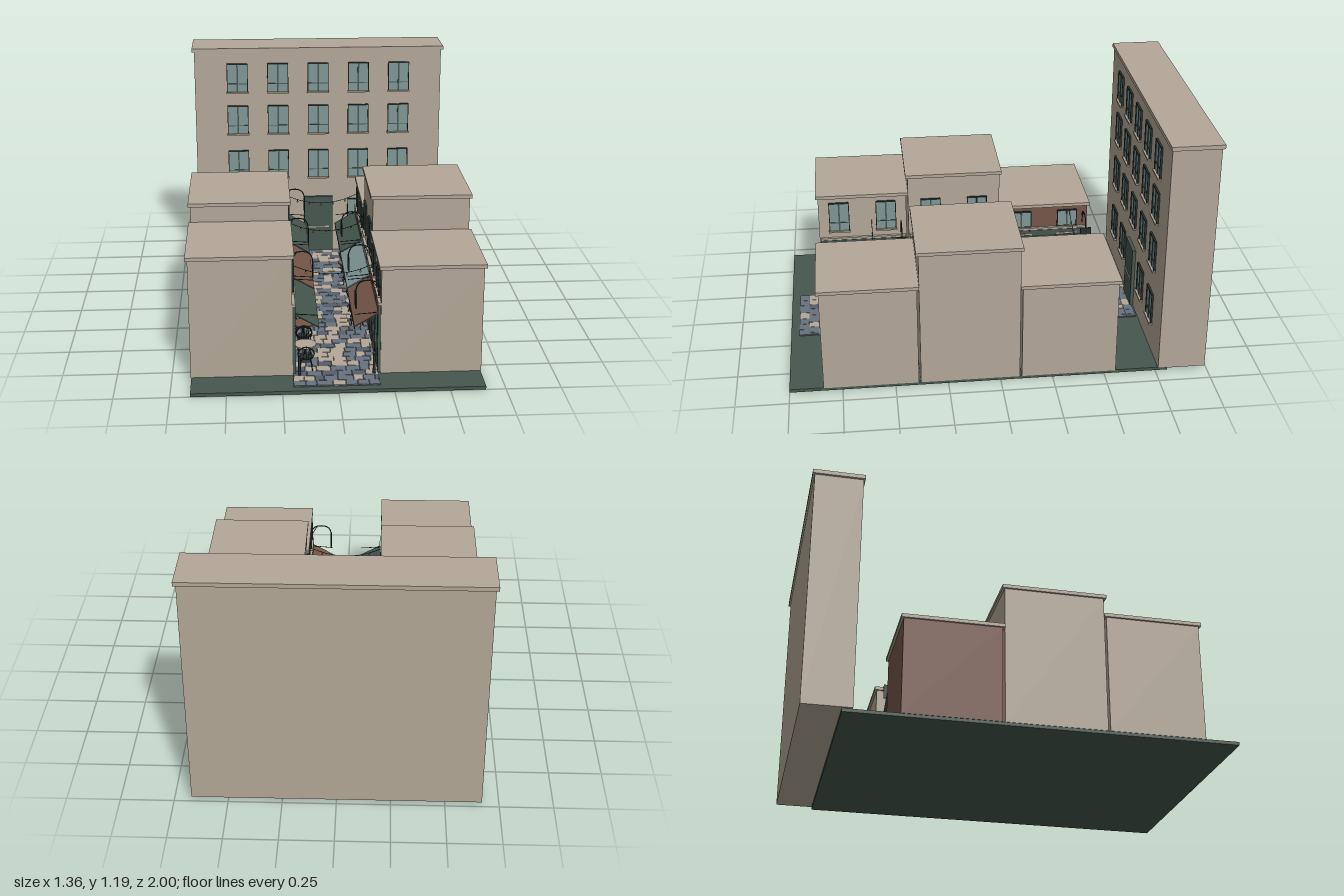
import * as THREE from 'three';

const mat = (name, color) => Object.assign(new THREE.MeshStandardMaterial({ color }), { name });
const stone = mat('tan stone', 0xb3a797);
const green = mat('dark green', 0x46574f);
const brick = mat('brick brown', 0x765649);
const glass = mat('pale teal glass', 0x809797);
const slate = mat('blue grey paving', 0x68727e);
const slateDark = mat('dark blue grey paving', 0x565f6b);
const iron = mat('dark iron', 0x25302e);

function add(parent, name, geo, material, x = 0, y = 0, z = 0) {
  const m = new THREE.Mesh(geo, material);
  m.name = name;
  m.position.set(x, y, z);
  parent.add(m);
  return m;
}

// Box given by its minimum and maximum corners
function block(parent, name, material, x0, x1, y0, y1, z0, z1) {
  return add(parent, name, new THREE.BoxGeometry(Math.abs(x1 - x0), y1 - y0, z1 - z0), material,
    (x0 + x1) / 2, (y0 + y1) / 2, (z0 + z1) / 2);
}

function group(parent, name, x = 0, y = 0, z = 0) {
  const g = new THREE.Group();
  g.name = name;
  g.position.set(x, y, z);
  parent.add(g);
  return g;
}

function tube(parent, name, points, r, material = iron, segs = 16) {
  const curve = new THREE.CatmullRomCurve3(points.map(p => new THREE.Vector3(...p)));
  return add(parent, name, new THREE.TubeGeometry(curve, segs, r, 6), material);
}

// Window facing +z, origin at the middle of its bottom edge
function makeWindow(parent, x, y, z, w, h) {
  const g = group(parent, 'window', x, y, z);
  block(g, 'windowGlass', glass, -w / 2, w / 2, 0, h, 0, 0.005);
  for (const s of [-1, 1])
    block(g, 'windowJamb', iron, s * w / 2 - 0.002, s * w / 2 + 0.002, 0, h, 0, 0.01);
  block(g, 'windowHead', iron, -w / 2, w / 2, h - 0.003, h + 0.003, 0, 0.01);
  block(g, 'mullion', green, -0.004, 0.004, 0, h, 0, 0.008);
  block(g, 'transom', green, -w / 2, w / 2, h * 0.28, h * 0.28 + 0.004, 0, 0.008);
  block(g, 'windowSill', stone, -w / 2 - 0.005, w / 2 + 0.005, -0.008, 0, 0, 0.016);
  return g;
}

// Slab paving in irregular rows
function makePaving(parent) {
  const g = group(parent, 'paving');
  let seed = 11;
  const rnd = () => (seed = (seed * 16807) % 2147483647) / 2147483647;
  block(g, 'pavingBed', slateDark, -0.2, 0.19, 0.015, 0.019, -0.755, 0.96);
  const rows = 35, d = 1.715 / rows;
  for (let r = 0; r < rows; r++) {
    const z = -0.755 + r * d;
    let x = -0.2;
    while (x < 0.185) {
      const end = Math.min(0.19, x + 0.04 + rnd() * 0.035);
      const pick = rnd();
      block(g, 'pavingSlab', pick < 0.36 ? stone : pick < 0.8 ? slate : slateDark,
        x + 0.001, end - 0.001, 0.016, 0.022, z + 0.001, z + d - 0.001);
      x = end;
    }
  }
}

// Tall house closing the end of the alley
function makeEndHouse(parent) {
  const g = group(parent, 'endHouse');
  block(g, 'endWalls', stone, -0.67, 0.67, 0.017, 1.167, -0.99, -0.762);
  block(g, 'endCornice', stone, -0.682, 0.682, 1.167, 1.187, -1, -0.755);
  for (const y of [0.165, 0.455, 0.71, 0.945])
    for (let i = -2; i <= 2; i++)
      if (y > 0.2 || i) makeWindow(g, i * 0.22, y, -0.762, 0.11, 0.155);
  block(g, 'endDoor', green, -0.08, 0.08, 0.02, 0.34, -0.762, -0.745);
  block(g, 'doorPlate', stone, -0.06, 0.06, 0.16, 0.168, -0.745, -0.74);
}

// Shop house on side s (+1 or -1) with its facade towards the alley
function makeShop(parent, s, z0, z1, top, wall, cloth, signZ) {
  const g = group(parent, 'shopHouse');
  const mid = (z0 + z1) / 2, len = z1 - z0;
  block(g, 'shopWalls', wall, s * 0.2, s * 0.663, 0.015, top - 0.016, z0, z1);
  block(g, 'shopCornice', stone, s * 0.19, s * 0.673, top - 0.017, top, z0 - 0.011, z1 + 0.011);

  // Facade built facing +z, then turned to the alley
  const f = group(g, 'facade', s * 0.2, 0, mid);
  f.rotation.y = -s * Math.PI / 2;
  const sill = Math.min(0.4, top - 0.165);
  for (const t of [-0.12, 0.12]) makeWindow(f, t, sill, 0, 0.1, Math.min(0.155, top - sill - 0.04));
  const w = len / 2 - 0.005;
  block(f, 'shopFront', green, -w, w, 0.02, 0.35, 0, 0.006);
  block(f, 'signBand', cloth, -w, w, 0.318, 0.348, 0.006, 0.013);
  block(f, 'stringCourse', stone, -w, w, 0.35, 0.36, 0, 0.014);
  block(f, 'shopPlinth', green, -w, w, 0.02, 0.075, 0.006, 0.012);
  for (const t of [-0.145, 0.145]) block(f, 'shopWindow', glass, t - 0.065, t + 0.065, 0.08, 0.29, 0.006, 0.009);
  block(f, 'shopDoor', cloth, -0.05, 0.05, 0.022, 0.29, 0.006, 0.011);
  block(f, 'doorGlass', glass, -0.035, 0.035, 0.11, 0.27, 0.011, 0.013);
  for (const t of [-w + 0.008, -0.068, 0.068, w - 0.008])
    block(f, 'pilaster', green, t - 0.008, t + 0.008, 0.02, 0.35, 0.006, 0.014);
  for (const t of [-0.145, 0.145])
    block(f, 'glazingBar', green, t - 0.003, t + 0.003, 0.08, 0.29, 0.009, 0.011);

  // Sloping awning with a scalloped edge and stays
  const slope = Math.atan2(0.063, 0.108);
  const a = add(f, 'awning', new THREE.BoxGeometry(len, 0.004, 0.125), cloth, 0, 0.281, 0.066);
  a.rotation.x = slope;
  const n = 18, step = len / n, edge = new THREE.Shape();
  edge.moveTo(-len / 2, 0.012);
  for (let i = 0; i < n; i++) {
    edge.lineTo(-len / 2 + (i + 0.5) * step, -0.008);
    edge.lineTo(-len / 2 + (i + 1) * step, 0);
  }
  edge.lineTo(len / 2, 0.012);
  add(f, 'awningEdge', new THREE.ExtrudeGeometry(edge, { depth: 0.003, bevelEnabled: false }), cloth, 0, 0.24, 0.118);
  for (const t of [-w + 0.01, w - 0.01])
    tube(f, 'awningStay', [[t, 0.312, 0.005], [t, 0.303, 0.118]], 0.0018, iron, 1);

  // Hanging sign on a curved bracket
  const h = group(g, 'hangingSign', 0, 0, signZ);
  tube(h, 'signBracket', [[s * 0.2, 0.42, 0], [s * 0.18, 0.447, 0], [s * 0.14, 0.457, 0],
    [s * 0.105, 0.447, 0], [s * 0.09, 0.42, 0], [s * 0.088, 0.39, 0]], 0.003);
  tube(h, 'signBrace', [[s * 0.2, 0.37, 0], [s * 0.19, 0.41, 0], [s * 0.165, 0.452, 0]], 0.002);
  block(h, 'signPanel', iron, s * 0.088 - 0.003, s * 0.088 + 0.003, 0.33, 0.4, -0.028, 0.028);
}

// Round-backed chair looking along +z
function makeChair(parent, x, z, turn) {
  const g = group(parent, 'chair', x, 0.02, z);
  g.rotation.y = turn;
  add(g, 'chairSeat', new THREE.CylinderGeometry(0.029, 0.029, 0.005, 16), iron, 0, 0.06, 0);
  for (const i of [-1, 1]) {
    for (const k of [-1, 1])
      tube(g, 'chairLeg', [[i * 0.02, 0.06, k * 0.02], [i * 0.03, 0, k * 0.028]], 0.0025, iron, 1);
    tube(g, 'chairSpindle', [[i * 0.012, 0.06, -0.027], [i * 0.014, 0.115, -0.03]], 0.0015, iron, 1);
  }
  tube(g, 'chairSpindle', [[0, 0.06, -0.027], [0, 0.12, -0.03]], 0.0015, iron, 1);
  tube(g, 'chairBack', [[-0.026, 0.06, -0.02], [-0.037, 0.09, -0.028], [-0.024, 0.114, -0.03], [0, 0.122, -0.03],
    [0.024, 0.114, -0.03], [0.037, 0.09, -0.028], [0.026, 0.06, -0.02]], 0.003);
}

function makeBistroSet(parent, x, z, topMat) {
  const g = group(parent, 'bistroSet', x, 0, z);
  add(g, 'tableTop', new THREE.CylinderGeometry(0.052, 0.052, 0.006, 24), topMat, 0, 0.105, 0);
  add(g, 'tablePost', new THREE.CylinderGeometry(0.004, 0.004, 0.08, 8), iron, 0, 0.063, 0);
  add(g, 'tableFoot', new THREE.CylinderGeometry(0.01, 0.028, 0.008, 16), iron, 0, 0.026, 0);
  makeChair(g, 0, -0.085, 0);
  makeChair(g, 0, 0.085, Math.PI);
}

// String of bulbs sagging across the alley
function makeLightString(parent, z) {
  const g = group(parent, 'lightString', 0, 0, z);
  const sag = x => 0.4 + 0.05 * (x / 0.2) ** 2;
  tube(g, 'lightCable', [-0.2, -0.1, 0, 0.1, 0.2].map(x => [x, sag(x), 0]), 0.0015);
  for (let i = -2; i <= 2; i++) {
    const x = i * 0.064;
    add(g, 'bulbCap', new THREE.CylinderGeometry(0.002, 0.003, 0.008, 8), iron, x, sag(x) - 0.004, 0);
    add(g, 'bulb', new THREE.SphereGeometry(0.005, 10, 8), stone, x, sag(x) - 0.011, 0);
  }
}

export function createModel() {
  const model = new THREE.Group();
  model.name = 'shoppingAlley';
  block(model, 'groundSlab', green, -0.66, 0.66, 0, 0.016, -0.81, 1);
  makePaving(model);
  makeEndHouse(model);

  makeShop(model, -1, 0.39, 0.84, 0.6, stone, green, 0.42);
  makeShop(model, -1, -0.092, 0.38, 0.695, stone, brick, -0.055);
  makeShop(model, -1, -0.555, -0.102, 0.493, brick, green, -0.53);
  makeShop(model, 1, 0.39, 0.84, 0.54, stone, brick, 0.8);
  makeShop(model, 1, -0.092, 0.38, 0.715, stone, glass, 0.345);
  makeShop(model, 1, -0.555, -0.102, 0.513, stone, green, -0.14);

  makeBistroSet(model, -0.138, 0.7, stone);
  makeBistroSet(model, -0.138, 0.46, brick);
  makeBistroSet(model, 0.135, 0.2, stone);
  makeBistroSet(model, 0.135, -0.33, brick);
  for (const z of [0.57, -0.02, -0.46]) makeLightString(model, z);

  // Bollards at the alley mouths
  for (const x of [-0.17, 0.17])
    for (const z of [0.85, -0.57]) {
      add(model, 'bollard', new THREE.CylinderGeometry(0.005, 0.007, 0.1, 12), iron, x, 0.07, z);
      add(model, 'bollardKnob', new THREE.SphereGeometry(0.008, 12, 8), iron, x, 0.123, z);
    }
  return model;
}
